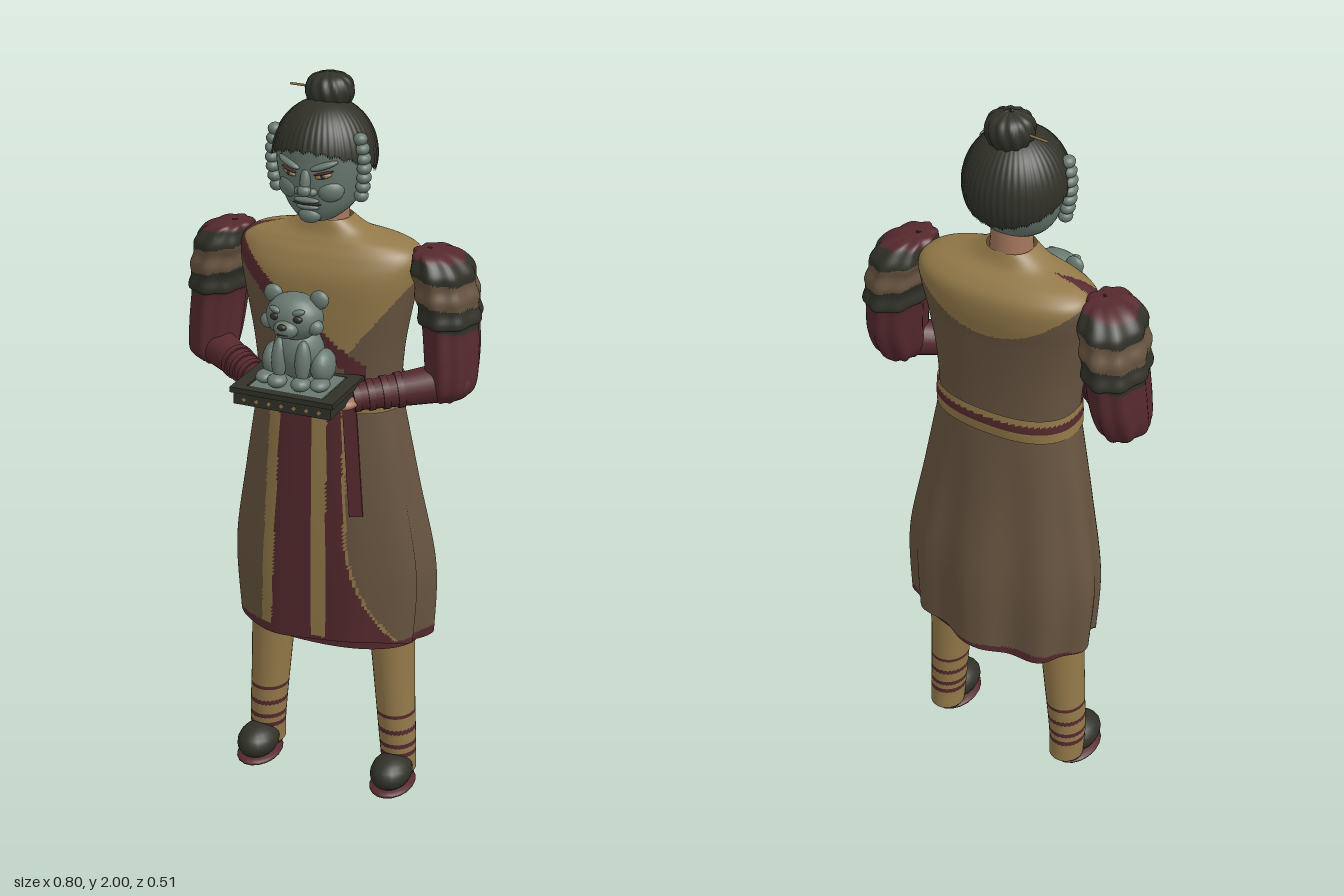
import * as THREE from 'three';

const mat = (name, color) => new THREE.MeshStandardMaterial({ name, color, side: THREE.DoubleSide });
const M = {
  skin: mat('grey green skin', 0x697970), dark: mat('charcoal', 0x313129), gold: mat('ochre cloth', 0x937949),
  brown: mat('brown cloth', 0x675440), maroon: mat('maroon cloth', 0x55292e), flesh: mat('neck flesh', 0xa3755c),
};
const V = (x, y, z) => new THREE.Vector3(x, y, z);

// Smooth interpolation through rows of numbers
function rowAt(rows, t) {
  const f = t * (rows.length - 1), i = Math.min(Math.floor(f), rows.length - 2), u = f - i;
  const at = (k) => rows[Math.max(0, Math.min(rows.length - 1, k))];
  return rows[i].map((b, k) => {
    const a = at(i - 1)[k], c = at(i + 1)[k], d = at(i + 2)[k];
    return b + 0.5 * u * (c - a + u * (2 * a - 5 * b + 4 * c - d + u * (3 * (b - c) + d - a)));
  });
}

// Closed loft upwards through rows [y, cx, cz, rx, rz]; rule(x, y, z) picks the material of each face
function loft(name, rows, rule, { n = 48, m = 24, p = 2, bump = () => 0, hem = () => 0 } = {}) {
  const pos = [], faces = {}, pw = (v) => Math.sign(v) * Math.abs(v) ** (2 / p);
  for (let j = 0; j <= m; j++) {
    const [y, cx, cz, rx, rz] = rowAt(rows, j / m);
    for (let i = 0; i < n; i++) {
      const a = -Math.PI + (i / n) * 2 * Math.PI, k = bump(a, y);
      pos.push(cx + Math.max(0, rx + k) * pw(Math.sin(a)), y + hem(a) * (1 - j / m), cz + Math.max(0, rz + k) * pw(Math.cos(a)));
    }
  }
  for (let j = 0; j < m; j++) for (let i = 0; i < n; i++) {
    const i2 = (i + 1) % n, a = j * n + i, b = j * n + i2, c = a + n, d = b + n;
    for (const tri of [[a, b, d], [a, d, c]]) {
      const mid = [0, 1, 2].map((k) => tri.reduce((s, v) => s + pos[v * 3 + k], 0) / 3);
      (faces[rule(...mid)] ??= []).push(...tri);
    }
  }
  const g = new THREE.BufferGeometry(), index = [], mats = [];
  for (const key in faces) {
    g.addGroup(index.length, faces[key].length, mats.length);
    mats.push(M[key]);
    for (const v of faces[key]) index.push(v);
  }
  g.setAttribute('position', new THREE.Float32BufferAttribute(pos, 3));
  g.setIndex(index);
  g.computeVertexNormals();
  const mesh = new THREE.Mesh(g, mats);
  mesh.name = name;
  return mesh;
}

function part(parent, name, geo, m, x = 0, y = 0, z = 0, rot = [0, 0, 0]) {
  const mesh = new THREE.Mesh(geo, M[m]);
  mesh.name = name;
  mesh.position.set(x, y, z);
  mesh.rotation.set(...rot);
  parent.add(mesh);
  return mesh;
}
const ball = (parent, name, m, [x, y, z], [rx, ry, rz], rot) =>
  part(parent, name, new THREE.SphereGeometry(1, 18, 12).scale(rx, ry, rz), m, x, y, z, rot);
const box = (parent, name, m, c, s, rot) => part(parent, name, new THREE.BoxGeometry(...s), m, ...c, rot);
function limb(parent, name, m, a, b, ra, rb) {
  const d = b.clone().sub(a), c = a.clone().add(b).multiplyScalar(0.5);
  const mesh = part(parent, name, new THREE.CylinderGeometry(rb, ra, d.length(), 20), m, c.x, c.y, c.z);
  mesh.quaternion.setFromUnitVectors(V(0, 1, 0), d.normalize());
}

function buildRobe(g) {
  // Bodice with yoke collar, diagonal sash and a maroon wedge on the right shoulder
  g.add(loft('bodice', [
    [1.16, 0, -0.052, 0.188, 0.117], [1.3, 0, -0.047, 0.2, 0.122], [1.42, 0, -0.047, 0.222, 0.127], [1.5, 0, -0.053, 0.238, 0.13],
    [1.55, 0, -0.06, 0.24, 0.118], [1.58, 0, -0.057, 0.205, 0.095], [1.605, 0, -0.045, 0.115, 0.068], [1.637, 0, -0.04, 0.06, 0.055],
  ], (x, y, z) => {
    if (x < -0.13 && y > 1.5 && z > -0.055 && z < -0.055 + 0.45 * (-0.13 - x)) return 'maroon';
    if (z < -0.06) return y > 1.445 + 2 * x * x ? 'gold' : 'brown';
    const sash = y - (1.55 - 0.8 * (x + 0.21));
    if (sash > -0.05 && sash < 0.005 && x < 0.14) return 'maroon';
    return sash > 0 && y > 1.39 + 1.3 * (x - 0.16) ? 'gold' : 'brown';
  }, { n: 128, m: 90, p: 2.4 }));
  // Long skirt with overlapping front panels
  const folds = (a, y) => (y - 1.18) * (0.014 * Math.cos(a * 9) + 0.008 * Math.cos(a * 5 + 0.4)) * (Math.cos(a) < 0.3 ? 1 : 0.2);
  g.add(loft('skirt', [
    [0.475, 0, -0.08, 0.268, 0.16], [0.68, 0, -0.075, 0.277, 0.154], [0.92, 0, -0.06, 0.238, 0.135], [1.18, 0, -0.05, 0.192, 0.117],
  ], (x, y, z) => {
    if (y < 0.487) return 'maroon';
    if (z < -0.02) return 'brown';
    const t = (1.17 - y) / 0.7, left = -0.125 - 0.03 * t, s = Math.max(0, 0.8 - y) / 0.3;
    const right = 0.088 + 0.02 * t + 0.11 * s * s;
    if (x < left || x > right) return 'brown';
    if (x < left + 0.034 || (x > 0 && x < 0.042) || x > right - 0.009) return 'gold';
    return 'maroon';
  }, { n: 192, m: 64, p: 2.2, bump: folds, hem: (a) => 0.012 * Math.sin(a * 3) }));
  g.add(loft('underskirt', [[0.458, 0, -0.075, 0.25, 0.14], [0.7, 0, -0.07, 0.25, 0.135], [1.1, 0, -0.05, 0.17, 0.1]],
    () => 'maroon', { p: 2.2 }));
  box(g, 'hangingSash', 'maroon', [0.112, 1.01, 0.061], [0.036, 0.3, 0.009], [-0.04, 0.24, 0.08]);
  // Belt
  g.add(loft('belt', [[1.145, 0, -0.052, 0.199, 0.123], [1.18, 0, -0.052, 0.198, 0.126], [1.215, 0, -0.052, 0.196, 0.123]],
    (x, y) => (y > 1.172 && y < 1.197 ? 'maroon' : 'gold'), { n: 64, m: 12, p: 2.4 }));
}

function buildArm(g, s) {
  const arm = new THREE.Group();
  arm.name = s > 0 ? 'leftArm' : 'rightArm';
  // Puffed sleeve in bands
  arm.add(loft('puffedSleeve', [
    [1.19, s * 0.325, -0.045, 0.03, 0.045], [1.225, s * 0.333, -0.05, 0.06, 0.075], [1.3, s * 0.33, -0.065, 0.066, 0.092],
    [1.385, s * 0.322, -0.072, 0.068, 0.096], [1.4, s * 0.32, -0.072, 0.074, 0.104], [1.45, s * 0.314, -0.07, 0.075, 0.104],
    [1.51, s * 0.303, -0.066, 0.075, 0.1], [1.553, s * 0.291, -0.06, 0.068, 0.088], [1.575, s * 0.275, -0.052, 0.04, 0.055],
    [1.58, s * 0.268, -0.05, 0, 0],
  ], (x, y) => {
    const h = y + 0.16 * (Math.abs(x) - 0.3);
    return h < 1.392 || (y > 1.535 && h > 1.562 - 0.25 * Math.max(0, 0.275 - Math.abs(x))) ? 'maroon'
      : h > 1.515 || h < 1.452 ? 'dark' : 'brown';
  }, { n: 64, m: 72, bump: (a, y) => 0.004 * Math.cos(a * 8) + (y > 1.39 ? 0.003 * Math.sin((y - 1.39) * 105) : 0) }));
  // Forearm, wrist wraps and hand
  const a = V(s * 0.335, 1.237, -0.04), b = V(s * 0.13, 1.21, 0.095);
  ball(arm, 'elbow', 'maroon', a.toArray(), [0.06, 0.05, 0.06]);
  limb(arm, 'forearm', 'maroon', a, b, 0.052, 0.034);
  for (const t of [0.5, 0.65, 0.8, 0.95]) {
    const c = a.clone().lerp(b, t), r = 0.055 - 0.018 * t;
    limb(arm, 'wristWrap', 'maroon', c, c.clone().add(b.clone().sub(a).multiplyScalar(0.07)), r, r);
  }
  ball(arm, 'hand', 'flesh', [s * 0.118, 1.205, 0.13], [0.03, 0.016, 0.04], [0, -s * 0.6, 0]);
  g.add(arm);
}

function buildLeg(g, s) {
  const leg = new THREE.Group();
  leg.name = s > 0 ? 'leftLeg' : 'rightLeg';
  leg.add(loft('trouserLeg', [[0.035, s * 0.2, -0.077, 0.047, 0.05], [0.12, s * 0.198, -0.07, 0.05, 0.054],
    [0.3, s * 0.186, -0.07, 0.055, 0.06], [0.56, s * 0.17, -0.072, 0.066, 0.065]],
  (x, y) => ([0.225, 0.175, 0.13, 0.1].some((b) => Math.abs(y - b) < 0.0065) ? 'maroon' : 'gold'), { n: 28, m: 110 }));
  ball(leg, 'shoe', 'dark', [s * 0.203, 0.058, -0.012], [0.056, 0.048, 0.076]);
  ball(leg, 'shoeHeel', 'dark', [s * 0.201, 0.03, -0.075], [0.044, 0.02, 0.04]);
  ball(leg, 'sole', 'maroon', [s * 0.203, 0.016, -0.022], [0.06, 0.016, 0.088]);
  g.add(leg);
}

function buildHead(g) {
  const head = new THREE.Group();
  head.name = 'head';
  part(head, 'neck', new THREE.CylinderGeometry(0.05, 0.056, 0.09, 32), 'flesh', 0, 1.645, -0.04);
  head.add(loft('face', [[1.643, 0, 0.025, 0, 0], [1.65, 0, 0.022, 0.042, 0.045], [1.685, 0, 0.002, 0.083, 0.088],
    [1.74, 0, -0.012, 0.108, 0.112], [1.8, 0, -0.015, 0.118, 0.12], [1.86, 0, -0.015, 0.11, 0.115], [1.92, 0, -0.015, 0.04, 0.05]],
  () => 'skin', { p: 2.1 }));
  // Hair cap, its lower edge following the hairline, combed into ridges
  const cap = new THREE.SphereGeometry(1, 192, 24), q = cap.attributes.position, uv = cap.attributes.uv;
  for (let i = 0; i < q.count; i++) {
    const a = uv.getX(i) * Math.PI * 2, f = (1 - Math.cos(a)) / 2;
    const th = (1 - uv.getY(i)) * (1.34 + 0.8 * f ** 0.95 + 0.025 * Math.cos(a * 24));
    const r = 1 + 0.01 * Math.cos(a * 48) * Math.sin(th);
    q.setXYZ(i, Math.sin(a) * Math.sin(th) * 0.13 * r, Math.cos(th) * 0.14, Math.cos(a) * Math.sin(th) * 0.136 * r);
  }
  cap.computeVertexNormals();
  part(head, 'hair', cap, 'dark', 0, 1.8, -0.017);
  // Top knot and pin
  head.add(loft('topKnot', [[1.9, 0, -0.045, 0.035, 0.035], [1.925, 0, -0.045, 0.053, 0.053], [1.955, 0, -0.045, 0.06, 0.06],
    [1.985, 0, -0.045, 0.045, 0.045], [2, 0, -0.045, 0, 0]], () => 'dark', { n: 72, bump: (a, y) => 0.0025 * Math.cos(a * 12 + y * 60) }));
  limb(head, 'hairPin', 'gold', V(-0.11, 1.952, -0.055), V(-0.03, 1.952, -0.05), 0.003, 0.003);
  // Facial features
  ball(head, 'noseBridge', 'skin', [0, 1.765, 0.1], [0.014, 0.035, 0.016], [-0.3, 0, 0]);
  ball(head, 'noseTip', 'skin', [0, 1.738, 0.11], [0.018, 0.015, 0.017]);
  ball(head, 'chin', 'skin', [0, 1.668, 0.075], [0.03, 0.021, 0.022]);
  ball(head, 'lowerLip', 'skin', [0, 1.692, 0.089], [0.03, 0.008, 0.012]);
  ball(head, 'upperLip', 'skin', [0, 1.711, 0.096], [0.034, 0.008, 0.012]);
  ball(head, 'mouthLine', 'dark', [0, 1.7015, 0.092], [0.038, 0.003, 0.012]);
  for (const s of [1, -1]) {
    ball(head, 'nostril', 'skin', [s * 0.018, 1.734, 0.1], [0.012, 0.01, 0.014]);
    ball(head, 'cheek', 'skin', [s * 0.055, 1.735, 0.074], [0.034, 0.028, 0.02], [0, s * 0.5, 0]);
    ball(head, 'browRidge', 'skin', [s * 0.046, 1.802, 0.094], [0.036, 0.009, 0.015], [0, s * 0.4, s * 0.3]);
    ball(head, 'eye', 'gold', [s * 0.045, 1.776, 0.094], [0.021, 0.007, 0.009], [0, s * 0.4, s * 0.2]);
    ball(head, 'pupil', 'dark', [s * 0.044, 1.776, 0.1], [0.007, 0.006, 0.005]);
    ball(head, 'eyelid', 'maroon', [s * 0.046, 1.784, 0.096], [0.025, 0.003, 0.008], [0, s * 0.4, s * 0.2]);
    // Ear of stacked coils
    for (let i = 0; i < 7; i++) {
      const t = i / 6, k = Math.sin(Math.PI * (0.15 + 0.7 * t));
      ball(head, 'earCoil', 'skin', [s * (0.106 + 0.017 * k), 1.715 + 0.145 * t, 0.022 + 0.008 * t], [0.018, 0.0155, 0.016 + 0.008 * k]);
    }
  }
  g.add(head);
}

function buildTray(g) {
  const tray = new THREE.Group();
  tray.name = 'tray';
  box(tray, 'trayBase', 'dark', [0, 1.226, 0.15], [0.264, 0.034, 0.2]);
  box(tray, 'trayPlate', 'skin', [0, 1.247, 0.155], [0.2, 0.012, 0.15]);
  for (const s of [1, -1]) {
    box(tray, 'sideRim', 'dark', [s * 0.122, 1.247, 0.155], [0.036, 0.014, 0.2]);
    box(tray, 'endRim', 'dark', [0, 1.247, 0.155 + s * 0.087], [0.28, 0.014, 0.026]);
  }
  for (let i = -3; i <= 3; i++) box(tray, 'trayStud', 'gold', [i * 0.034, 1.224, 0.25], [0.01, 0.008, 0.004], [0, 0, Math.PI / 4]);
  g.add(tray);

  // Seated bear figurine
  const bear = new THREE.Group();
  bear.name = 'bearFigurine';
  ball(bear, 'body', 'skin', [0, 1.335, 0.143], [0.066, 0.078, 0.06], [0.15, 0, 0]);
  ball(bear, 'bearHead', 'skin', [0, 1.435, 0.168], [0.074, 0.06, 0.06]);
  ball(bear, 'muzzle', 'skin', [0, 1.418, 0.22], [0.032, 0.024, 0.026]);
  ball(bear, 'bearNose', 'dark', [0, 1.43, 0.244], [0.012, 0.008, 0.008]);
  ball(bear, 'bearMouth', 'dark', [0, 1.41, 0.238], [0.017, 0.003, 0.008]);
  for (const s of [1, -1]) {
    ball(bear, 'bearEar', 'skin', [s * 0.062, 1.482, 0.158], [0.025, 0.024, 0.015]);
    ball(bear, 'bearCheek', 'skin', [s * 0.062, 1.42, 0.185], [0.022, 0.02, 0.02]);
    ball(bear, 'bearBrow', 'skin', [s * 0.03, 1.462, 0.213], [0.018, 0.008, 0.01], [0, 0, s * 0.3]);
    ball(bear, 'bearEye', 'dark', [s * 0.03, 1.446, 0.218], [0.013, 0.009, 0.008]);
    ball(bear, 'foreleg', 'skin', [s * 0.032, 1.325, 0.192], [0.02, 0.055, 0.021], [-0.1, 0, 0]);
    ball(bear, 'forePaw', 'skin', [s * 0.032, 1.271, 0.205], [0.025, 0.018, 0.028]);
    ball(bear, 'thigh', 'skin', [s * 0.066, 1.303, 0.143], [0.03, 0.045, 0.046]);
    ball(bear, 'hindPaw', 'skin', [s * 0.074, 1.268, 0.182], [0.025, 0.016, 0.032]);
  }
  g.add(bear);
}

export function createModel() {
  const g = new THREE.Group();
  g.name = 'robedTrayBearer';
  buildRobe(g);
  for (const s of [1, -1]) { buildArm(g, s); buildLeg(g, s); }
  buildHead(g);
  buildTray(g);
  return g;
}
